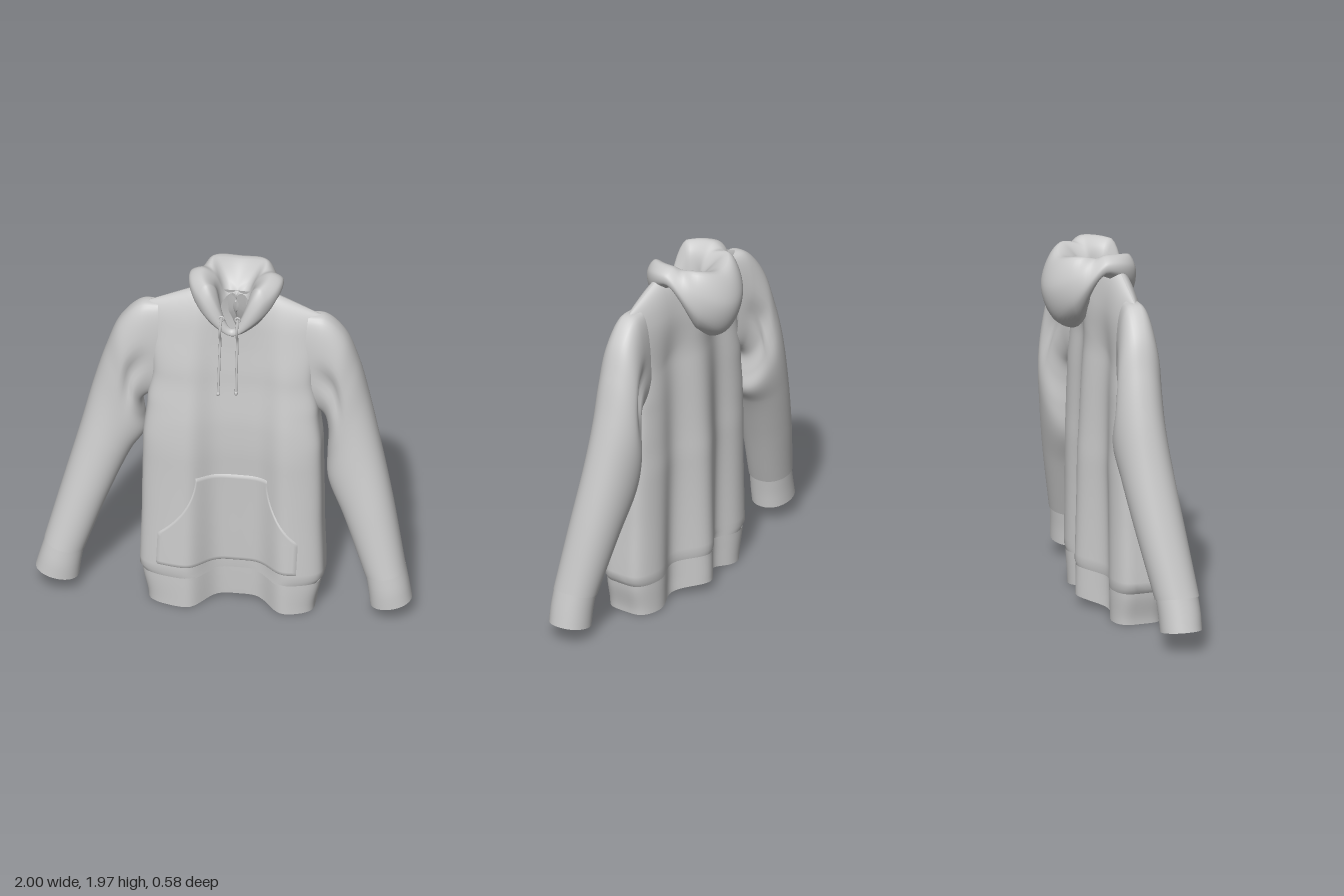
import * as THREE from 'three';

const CX = 0.042; // the garment hangs slightly off centre
const fabric = new THREE.MeshStandardMaterial({ color: 0xcccccc, side: THREE.DoubleSide });
const V = (x, y, z = 0) => new THREE.Vector3(x, y, z);
const clamp = THREE.MathUtils.clamp;
const bump = (x, centre, width) => Math.exp(-(((x - centre) / width) ** 2));

// Smooth surface from a rule point(i, j); columns may wrap round
function loft(name, cols, rows, wrap, point) {
  const pos = [], idx = [], n = wrap ? cols : cols + 1;
  for (let j = 0; j <= rows; j++)
    for (let i = 0; i < n; i++) pos.push(...point(i / cols, j / rows).toArray());
  for (let j = 0; j < rows; j++)
    for (let i = 0; i < cols; i++) {
      const a = j * n + i, b = j * n + (i + 1) % n;
      idx.push(a, b, a + n, b, b + n, a + n);
    }
  const geo = new THREE.BufferGeometry();
  geo.setAttribute('position', new THREE.Float32BufferAttribute(pos, 3));
  geo.setIndex(idx);
  geo.computeVertexNormals();
  const mesh = new THREE.Mesh(geo, fabric);
  mesh.name = name;
  return mesh;
}

// Eased lookup in a list of [key, value]
function lookup(table, k) {
  if (k <= table[0][0]) return table[0][1];
  for (let i = 1; i < table.length; i++) {
    const [k0, v0] = table[i - 1], [k1, v1] = table[i];
    if (k <= k1) return v0 + (v1 - v0) * THREE.MathUtils.smoothstep(k, k0, k1);
  }
  return table[table.length - 1][1];
}

// Torso rules: half width, shoulder slope, depths
const TIP = 0.47; // half width at the shoulder tips
const halfWidth = y => lookup([[0, 0.455], [0.2, 0.49], [0.6, 0.48], [1.0, 0.475], [1.22, 0.455], [1.4, 0.43], [1.6, 0.445], [1.785, TIP]], y);
const shoulderY = dx => 1.785 + 0.44 * (TIP - Math.min(TIP, Math.sqrt(dx * dx + 0.001)));
const middle = y => lookup([[0, 0.12], [0.9, 0.11], [1.4, 0.08], [1.7, 0.062]], y);
const frontDepth = y => lookup([[0, 0.18], [1.1, 0.165], [1.6, 0.13]], y);
const backDepth = y => lookup([[0, 0.195], [0.8, 0.18], [1.6, 0.11]], y);

// Drape: a broad hollow down the front, a ridge between two hollows down the back
const hollow = x => Math.exp(-(((x - 0.07) / (x < 0.07 ? 0.19 : 0.2)) ** 4));
const backFold = x => 0.045 * bump(x, 0.03, 0.1) - 0.07 * (bump(x, -0.17, 0.1) + bump(x, 0.22, 0.1));

function torsoZ(x, y, s) { // s: -1 back .. +1 front
  const t = clamp((shoulderY(x - CX) - y) / 0.45, 0, 1), side = Math.abs(s);
  const round = Math.sqrt(1 - (1 - t) ** 2);
  if (s >= 0)
    return middle(y) + frontDepth(y) * round * side ** 0.5 - 0.152 * hollow(x) * clamp(1 - 0.42 * y, 0.1, 1) * round * Math.min(1, s * 2);
  return middle(y) - backDepth(y) * round * side ** 0.42 - backFold(x) * clamp(1.05 - 0.45 * y, 0.1, 1) * t;
}
function torsoPoint(a, y, inset = 1) {
  const c = Math.cos(a), x = CX + halfWidth(y) * c;
  const z = torsoZ(x, y, Math.sin(a)), zm = middle(y);
  return V(CX + (x - CX) * inset, y, zm + (z - zm) * inset);
}
function frontZ(x, y) {
  const c = clamp((x - CX) / halfWidth(y), -1, 1);
  return torsoZ(x, y, Math.sqrt(1 - c * c));
}

function torso() {
  const g = new THREE.Group();
  g.name = 'torso';
  // Height of the hem, higher over the folds
  const lift = (a, x) => Math.sin(a) > 0 ? 0.03 * hollow(x) * Math.min(1, 2 * Math.sin(a)) : 0.055 * bump(x, 0.05, 0.25) * -Math.sin(a);
  g.add(loft('body', 144, 70, true, (u, v) => {
    const a = -u * Math.PI * 2, dx = TIP * Math.cos(a), n = Math.min(1, Math.abs(dx) / 0.22);
    const neck = Math.sin(a) > 0 ? 1.67 + 0.225 * n ** 1.8 : 1.84 + 0.055 * n * n;
    const top = n < 1 ? neck : shoulderY(dx);
    const bottom = 0.175 + 0.7 * lift(a, CX + dx);
    const y = bottom + (top - bottom) * (1 - (1 - v) ** 1.6);
    return torsoPoint(a, y, v === 0 ? 0.95 : 1);
  }));
  g.add(loft('hemBand', 144, 8, true, (u, v) => {
    const a = -u * Math.PI * 2, l = lift(a, CX + TIP * Math.cos(a));
    const bottom = 0.005 + l, top = 0.185 + 0.7 * l;
    return torsoPoint(a, bottom + (top - bottom) * v, 0.97);
  }));
  return g;
}

// Pouch pocket laid on the torso front, edges turned in
function pocket() {
  const half = y => 0.19 + 0.188 * (1 - clamp((y - 0.45) / 0.36, 0, 1)) ** 2.2;
  return loft('pocket', 60, 40, false, (u, v) => {
    const y = 0.25 + 0.56 * v;
    const x = 0.025 + 0.025 * v + half(y) * (u * 2 - 1);
    const edge = u === 0 || u === 1 || v === 0 || v === 1;
    return V(x, y, frontZ(x, y) + (edge ? -0.004 : 0.007));
  });
}

// Sleeve sections: outer x, y, inner x, y, middle z, half depth
const leftSections = [
  [0.44, 1.79, 0.40, 1.24, 0.062, 0.08], [0.53, 1.782, 0.47, 1.215, 0.058, 0.1],
  [0.63, 1.68, 0.52, 1.17, 0.047, 0.12], [0.70, 1.50, 0.54, 1.07, 0.037, 0.13],
  [0.755, 1.28, 0.535, 0.93, 0.035, 0.138], [0.815, 1.02, 0.54, 0.78, 0.055, 0.138],
  [0.89, 0.68, 0.63, 0.57, 0.095, 0.132], [0.965, 0.29, 0.75, 0.25, 0.15, 0.118]];
const rightSections = [
  [-0.36, 1.79, -0.34, 1.24, 0.062, 0.08], [-0.455, 1.782, -0.41, 1.215, 0.058, 0.1],
  [-0.57, 1.66, -0.45, 1.16, 0.047, 0.12], [-0.645, 1.47, -0.44, 1.06, 0.037, 0.13],
  [-0.71, 1.25, -0.43, 0.97, 0.035, 0.138], [-0.78, 0.97, -0.50, 0.86, 0.055, 0.138],
  [-0.865, 0.65, -0.61, 0.61, 0.095, 0.132], [-0.955, 0.31, -0.74, 0.26, 0.15, 0.118]];
const leftCuff = [[0.965, 0.30, 0.755, 0.255, 0.15, 0.112], [0.985, 0.2, 0.77, 0.16, 0.158, 0.112], [1.0, 0.11, 0.78, 0.07, 0.16, 0.11]];
const rightCuff = [[-0.95, 0.315, -0.745, 0.265, 0.15, 0.112], [-0.977, 0.22, -0.76, 0.17, 0.158, 0.112], [-1.0, 0.135, -0.77, 0.09, 0.16, 0.11]];

function sleevePart(name, sections, rows, drape, capPower) {
  const outer = new THREE.CatmullRomCurve3(sections.map(s => V(s[0], s[1], s[4])));
  const inner = new THREE.CatmullRomCurve3(sections.map(s => V(s[2], s[3], s[5])));
  const dir = Math.sign(sections[0][0]);
  return loft(name, 48, rows, true, (u, v) => {
    const a = u * Math.PI * 2 * dir, o = outer.getPoint(v), i = inner.getPoint(v);
    const k = (1 + Math.cos(a)) / 2, s = Math.sin(a);
    // Soft creases falling from the armhole, broad cap at the shoulder
    const crease = bump(k, 0.42, 0.12) * bump(v, 0.3, 0.15);
    const power = lookup([[0, capPower], [0.4, 0.9]], v);
    const z = o.z + i.z * Math.sign(s) * Math.abs(s) ** power - drape * crease * s;
    return V(i.x + (o.x - i.x) * k, i.y + (o.y - i.y) * k, z);
  });
}
function sleeve(name, sections, cuff) {
  const g = new THREE.Group();
  g.name = name;
  g.add(sleevePart('arm', sections, 56, 0.035, 0.55), sleevePart('cuff', cuff, 6, 0, 0.9));
  return g;
}

// Hood lying down the back: profiles (radius, height) every 45 degrees,
// from neck seam, round the outside, over the rim and into the opening
function hood() {
  const F = [[0.15, 1.665], [0.175, 1.68], [0.172, 1.7], [0.155, 1.71], [0.14, 1.695], [0.13, 1.65]];
  const FD = [[0.195, 1.75], [0.228, 1.81], [0.235, 1.9], [0.195, 1.96], [0.135, 1.92], [0.1, 1.76]];
  const S = [[0.2, 1.86], [0.248, 1.905], [0.245, 1.95], [0.18, 1.978], [0.11, 1.93], [0.06, 1.8]];
  const BD = [[-0.02, 1.78], [0.15, 1.62], [0.245, 1.71], [0.255, 1.86], [0.195, 1.97], [0.03, 1.82]];
  const B = [[-0.03, 1.74], [0.1, 1.54], [0.225, 1.59], [0.29, 1.78], [0.2, 1.94], [-0.03, 1.8]];
  const ring = [F, FD, S, BD, B, BD, S, FD];
  const rails = F.map((_, k) => new THREE.CatmullRomCurve3(ring.map(p => V(p[k][0], p[k][1])), true));
  const cols = 72, profiles = [];
  for (let i = 0; i < cols; i++)
    profiles.push(new THREE.CatmullRomCurve3(rails.map(r => r.getPoint(i / cols))));
  return loft('hood', cols, 36, true, (u, v) => {
    const p = profiles[Math.round(u * cols) % cols].getPoint(v), a = Math.PI / 2 + u * Math.PI * 2;
    return V(CX + p.x * Math.cos(a), p.y, p.x * Math.sin(a));
  });
}

// Drawstring with eyelet and end knot
function drawstring(name, x0, x1, yEnd) {
  const g = new THREE.Group();
  g.name = name;
  const pts = [V(x0, 1.785, 0.175)];
  for (let i = 1; i <= 6; i++) {
    const t = i / 6, x = x0 + (x1 - x0) * Math.sqrt(t), y = 1.785 + (yEnd - 1.785) * t;
    pts.push(V(x, y, Math.max(frontZ(x, y) + 0.01, y > 1.65 ? 0.185 : 0)));
  }
  const cord = new THREE.Mesh(new THREE.TubeGeometry(new THREE.CatmullRomCurve3(pts), 40, 0.007, 8), fabric);
  cord.name = 'cord';
  const knot = new THREE.Mesh(new THREE.SphereGeometry(0.01, 10, 8), fabric);
  knot.name = 'knot';
  knot.scale.y = 1.4;
  knot.position.copy(pts[6]);
  const eyelet = new THREE.Mesh(new THREE.TorusGeometry(0.013, 0.005, 8, 16), fabric);
  eyelet.name = 'eyelet';
  eyelet.position.copy(pts[0]);
  g.add(cord, knot, eyelet);
  return g;
}

export function createModel() {
  const model = new THREE.Group();
  model.name = 'hoodedSweatshirt';
  model.add(torso(), pocket(), hood(),
    sleeve('leftSleeve', leftSections, leftCuff), sleeve('rightSleeve', rightSections, rightCuff),
    drawstring('rightDrawstring', -0.012, -0.028, 1.31), drawstring('leftDrawstring', 0.075, 0.066, 1.32));
  return model;
}
